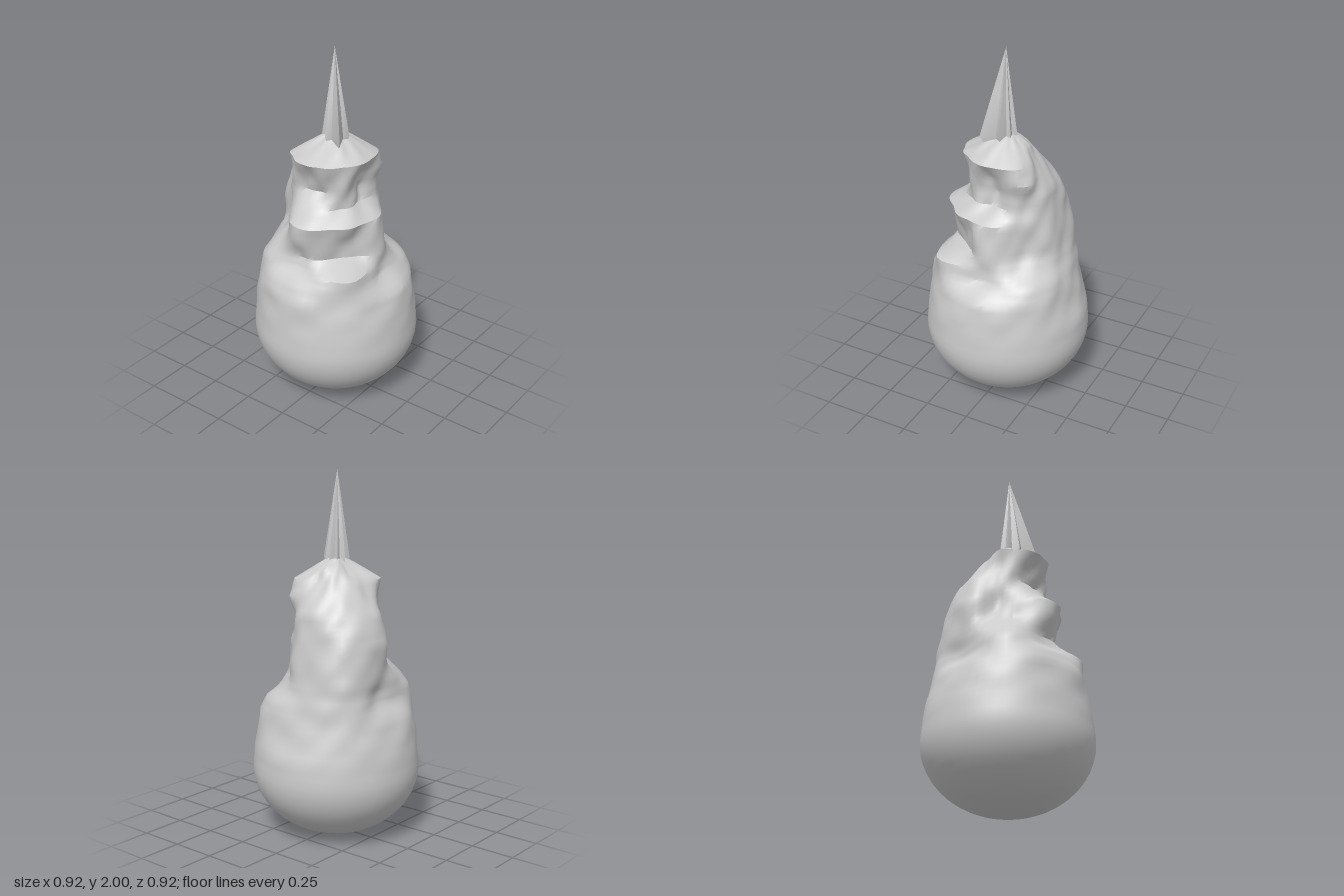
import * as THREE from 'three';
import { toCreasedNormals } from 'three/addons/utils/BufferGeometryUtils.js';

const TAU = Math.PI * 2;
const material = new THREE.MeshStandardMaterial({ color: 0xcccccc, side: THREE.DoubleSide });

// Flame radii in eight directions, starting at +x and turning through +z, -x, -z.
const flameRows = [
  { y: 0.38, r: [.46, .46, .46, .46, .46, .46, .46, .46] },
  { y: 0.50, r: [.45, .45, .45, .45, .45, .45, .45, .45] },
  { y: 0.60, r: [.41, .43, .44, .43, .44, .44, .43, .43] },
  { y: 0.70, r: [.38, .42, .41, .41, .43, .43, .39, .41] },
  { y: 0.78, r: [.36, .38, .31, .40, .39, .41, .32, .40] },
  { y: 0.84, r: [.33, .30, .30, .40, .31, .40, .31, .39] },
  { y: 0.90, r: [.31, .25, .30, .24, .29, .36, .32, .39] },
  { y: 1.00, r: [.30, .24, .29, .25, .33, .26, .32, .37] },
  { y: 1.10, r: [.28, .24, .27, .29, .34, .24, .33, .34] },
  { y: 1.17, r: [.27, .22, .16, .20, .25, .24, .31, .32] },
  { y: 1.25, r: [.26, .22, .14, .20, .17, .23, .28, .28] },
  { y: 1.33, r: [.21, .25, .16, .21, .20, .23, .22, .22] },
  { y: 1.42, r: [.15, .22, .22, .22, .25, .24, .16, .15] },
  { y: 1.48, r: [.12, .12, .13, .14, .12, .14, .08, .10] },
  { y: 1.53, r: [.04, .04, .05, .05, .05, .05, .04, .04] },
];

// Furrows between the tongues: angle and height of the middle, and depth.
const furrows = [
  { angle: 4.22, y: 1.08, depth: 0.035 },
  { angle: 2.0, y: 0.95, depth: 0.025 },
];

// Blends the eight radii smoothly round the ring.
function ringRadius(radii, angle) {
  const s = ((angle / TAU) * 8 + 8) % 8;
  const i = Math.floor(s) % 8;
  const t = s - Math.floor(s);
  return THREE.MathUtils.lerp(radii[i], radii[(i + 1) % 8], t * t * (3 - 2 * t));
}

// Small repeatable dents and bumps, plus the furrows.
function relief(angle, y) {
  let h = 0.005 * Math.sin(6 * angle + 3 * Math.sin(5 * y)) * Math.sin(17 * y + 2 * angle)
    + 0.005 * Math.sin(11 * angle + 1) * Math.sin(29 * y + 3 * Math.sin(angle));
  for (const f of furrows) {
    h -= f.depth * Math.exp(-(((angle - f.angle) / 0.17) ** 2) - ((y - f.y) / 0.17) ** 2);
  }
  return h;
}

// Skins a list of closed rings, ordered from bottom to top.
function loft(rings, crease) {
  const n = rings[0].length;
  const index = [];
  for (let j = 0; j < rings.length - 1; j++) {
    for (let i = 0; i < n; i++) {
      const a = j * n + i, b = j * n + (i + 1) % n;
      index.push(a, a + n, b, b, a + n, b + n);
    }
  }
  const geometry = new THREE.BufferGeometry().setFromPoints(rings.flat());
  geometry.setIndex(index);
  return toCreasedNormals(geometry, crease);
}

function ring(count, y, radiusAt, cx = 0) {
  return Array.from({ length: count }, (_, i) => {
    const a = (i / count) * TAU, r = radiusAt(a, i);
    return new THREE.Vector3(cx + r * Math.cos(a), y, r * Math.sin(a));
  });
}

// Round belly running up into stepped flame tongues.
function flameBody() {
  const sides = 56, rings = [], bellyY = flameRows[0].y;
  for (let k = 0; k < 12; k++) {
    const t = (k / 12) * Math.PI / 2;
    rings.push(ring(sides, bellyY * (1 - Math.cos(t)), () => 0.46 * Math.sin(t)));
  }
  const steps = 3;
  for (let k = 0; k < flameRows.length - 1; k++) {
    const low = flameRows[k], high = flameRows[k + 1];
    for (let s = 0; s < steps; s++) {
      const t = s / steps, y = THREE.MathUtils.lerp(low.y, high.y, t);
      const rough = THREE.MathUtils.smoothstep(y, 0.35, 0.7);
      rings.push(ring(sides, y, (a) => THREE.MathUtils.lerp(
        ringRadius(low.r, a), ringRadius(high.r, a), t) + rough * relief(a, y)));
    }
  }
  const top = flameRows[flameRows.length - 1];
  rings.push(ring(sides, top.y, (a) => ringRadius(top.r, a)));
  rings.push(ring(sides, top.y, () => 0));
  return loft(rings, 0.7);
}

// Thin folded spike: eight pleats meeting at the tip, widest between -x and +z.
function tipSpike() {
  const pleats = [.06, .06, .09, .15, .09, .07, .06, .05];
  const radius = (scale) => (a, i) => scale * (i % 2 ? 0.65 : 1) * ringRadius(pleats, a);
  return loft([
    ring(16, 1.47, radius(0.8), -0.005),
    ring(16, 1.53, radius(1), -0.005),
    ring(16, 1.75, radius(0.53), -0.008),
    ring(16, 2.0, () => 0, -0.01),
  ], 0.5);
}

export function createModel() {
  const group = new THREE.Group();
  group.name = 'flame';
  const parts = { flameBody: flameBody(), tipSpike: tipSpike() };
  for (const [name, geometry] of Object.entries(parts)) {
    const mesh = new THREE.Mesh(geometry, material);
    mesh.name = name;
    group.add(mesh);
  }
  return group;
}
